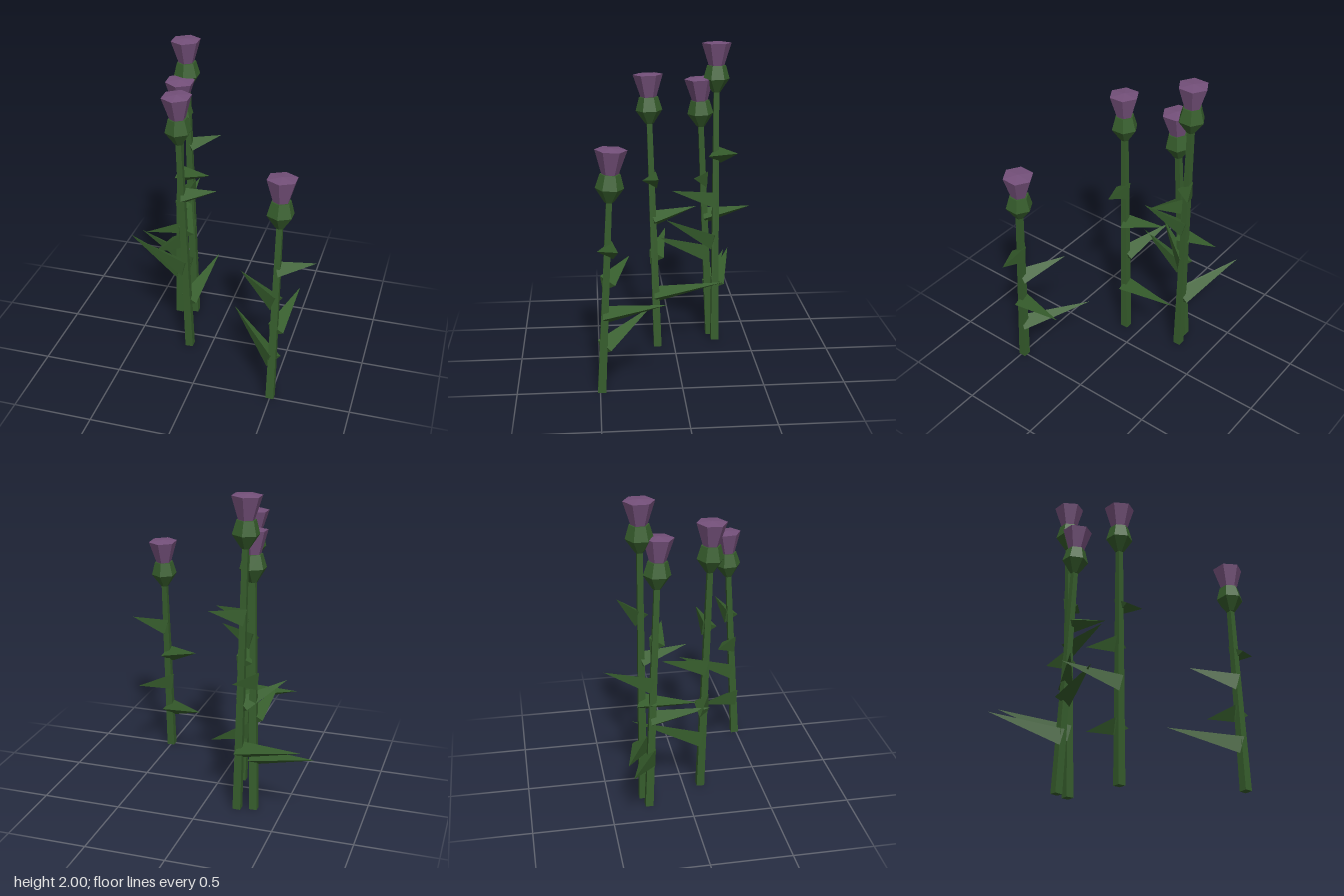
import * as THREE from 'three';

const green = new THREE.MeshStandardMaterial({ color: 0x365d2c });
green.name = 'leafGreen';
const purple = new THREE.MeshStandardMaterial({ color: 0x74507a });
purple.name = 'flowerPurple';

const V = (a) => new THREE.Vector3(...a);

// Each plant: foot, crown (top of the flower) and leaf tips from the lowest up
const plants = [
  { foot: [0.50, 0, 0.49], crown: [0.512, 1.51, 0.41],
    tips: [[0.18, 0.41, 0.17], [0.585, 0.58, 0.10], [0.25, 0.775, 0.305], [0.73, 0.96, 0.385]] },
  { foot: [-0.14, 0, 0.11], crown: [-0.187, 1.82, 0.16],
    tips: [[-0.06, 0.465, -0.32], [-0.51, 0.705, 0.03], [-0.20, 0.945, -0.15], [0.045, 1.19, 0.11]] },
  { foot: [-0.32, 0, -0.255], crown: [-0.27, 1.775, -0.17],
    tips: [[-0.73, 0.46, -0.40], [-0.37, 0.69, 0.13], [-0.25, 0.925, -0.51], [-0.07, 1.16, -0.125]] },
  { foot: [-0.22, 0, -0.28], crown: [-0.265, 2.0, -0.28],
    tips: [[-0.65, 0.50, -0.42], [-0.45, 0.775, 0.03], [-0.20, 1.05, 0.01], [-0.07, 1.32, -0.40]] },
];

const HEAD = 0.32; // height of bulb plus flower
const leafLevels = [0.235, 0.41, 0.58, 0.755]; // fractions of the stem

// Faceted mesh
function part(name, geometry, material) {
  const g = geometry.toNonIndexed();
  g.computeVertexNormals();
  const mesh = new THREE.Mesh(g, material);
  mesh.name = name;
  return mesh;
}

// Upright prism section between two heights
function section(name, y0, r0, y1, r1, sides, material, open = true) {
  const g = new THREE.CylinderGeometry(r1, r0, y1 - y0, sides, 1, open);
  if (sides === 4) g.rotateY(Math.PI / 4);
  g.translate(0, (y0 + y1) / 2, 0);
  return part(name, g, material);
}

// Three-sided spike from the stem to its tip, one edge turned sideways
function leaf(root, tip) {
  const axis = tip.clone().sub(root);
  const length = axis.length();
  axis.normalize();
  const side = axis.clone().cross(new THREE.Vector3(0, 1, 0)).normalize();
  const x = axis.clone().cross(side);
  const g = new THREE.ConeGeometry(0.062, length, 3);
  g.translate(0, length / 2, 0);
  const mesh = part('leaf', g, green);
  mesh.quaternion.setFromRotationMatrix(new THREE.Matrix4().makeBasis(x, axis, side));
  mesh.position.copy(root);
  return mesh;
}

function thistle({ foot, crown, tips }) {
  const plant = new THREE.Group();
  plant.name = 'thistle';
  const a = V(foot), b = V(crown);
  const dir = b.clone().sub(a);
  const h = dir.length();
  dir.normalize();

  // Leaning stalk with its bulb and flower
  const stalk = new THREE.Group();
  stalk.name = 'stalk';
  stalk.position.copy(a);
  stalk.quaternion.setFromUnitVectors(new THREE.Vector3(0, 1, 0), dir);
  stalk.add(
    section('stem', 0, 0.0355, h - HEAD + 0.01, 0.024, 4, green, false),
    section('bulbBase', h - HEAD, 0.026, h - 0.235, 0.084, 6, green, false),
    section('bulbTop', h - 0.235, 0.084, h - 0.15, 0.06, 6, green, false),
    section('flower', h - 0.15, 0.05, h - 0.01, 0.094, 6, purple),
    section('flowerCap', h - 0.01, 0.094, h, 0, 6, purple),
  );
  plant.add(stalk);

  tips.forEach((t, i) => {
    const root = a.clone().addScaledVector(dir, (h - HEAD) * leafLevels[i]);
    plant.add(leaf(root, V(t)));
  });
  return plant;
}

export function createModel() {
  const model = new THREE.Group();
  model.name = 'thistlePatch';
  plants.forEach((p) => model.add(thistle(p)));
  return model;
}
